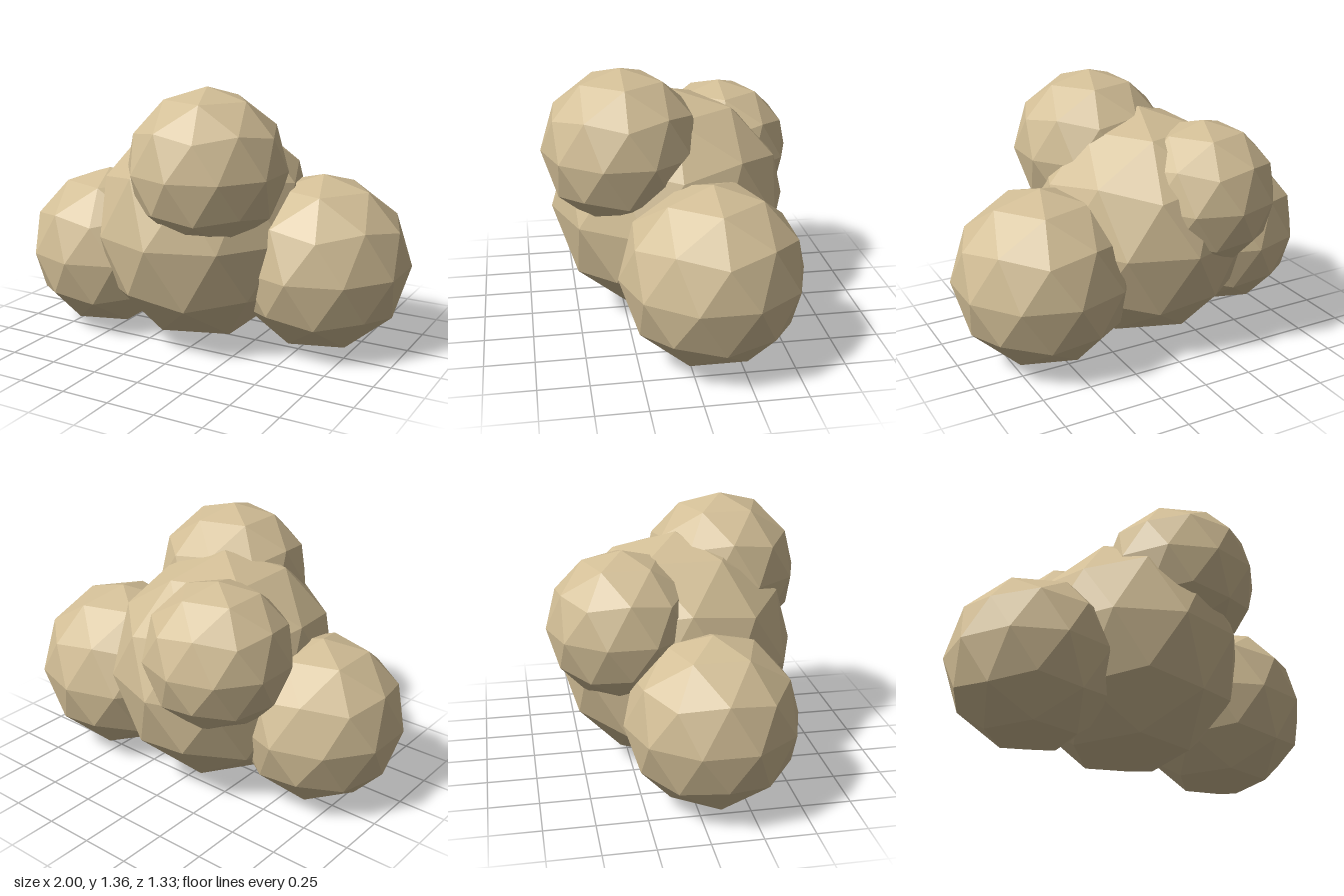
import * as THREE from 'three';

export function createModel() {
  const model = new THREE.Group();
  model.name = 'lumpyMound';

  const sand = new THREE.MeshStandardMaterial({ color: 0xd2be96 });
  sand.name = 'sand';

  // Faceted ball with a vertex at each pole; non-indexed, so normals are flat
  const ball = new THREE.IcosahedronGeometry(1, 1);
  ball.rotateZ(-Math.atan(2 / (1 + Math.sqrt(5))));
  ball.computeVertexNormals();

  // name, centre, radii
  const lumps = [
    ['centreLump', [-0.04, 0.605, 0.005], [0.563, 0.605, 0.612]],
    ['leftLump', [0.567, 0.455, -0.115], [0.455, 0.455, 0.455]],
    ['rightLump', [-0.593, 0.43, 0.086], [0.428, 0.43, 0.428]],
    ['topFrontLump', [0.112, 0.964, 0.266], [0.4, 0.4, 0.4]],
    ['topBackLump', [-0.24, 0.81, -0.292], [0.376, 0.376, 0.376]],
  ];

  for (const [name, centre, radii] of lumps) {
    const lump = new THREE.Mesh(ball, sand);
    lump.name = name;
    lump.position.set(...centre);
    lump.scale.set(...radii);
    model.add(lump);
  }
  return model;
}
